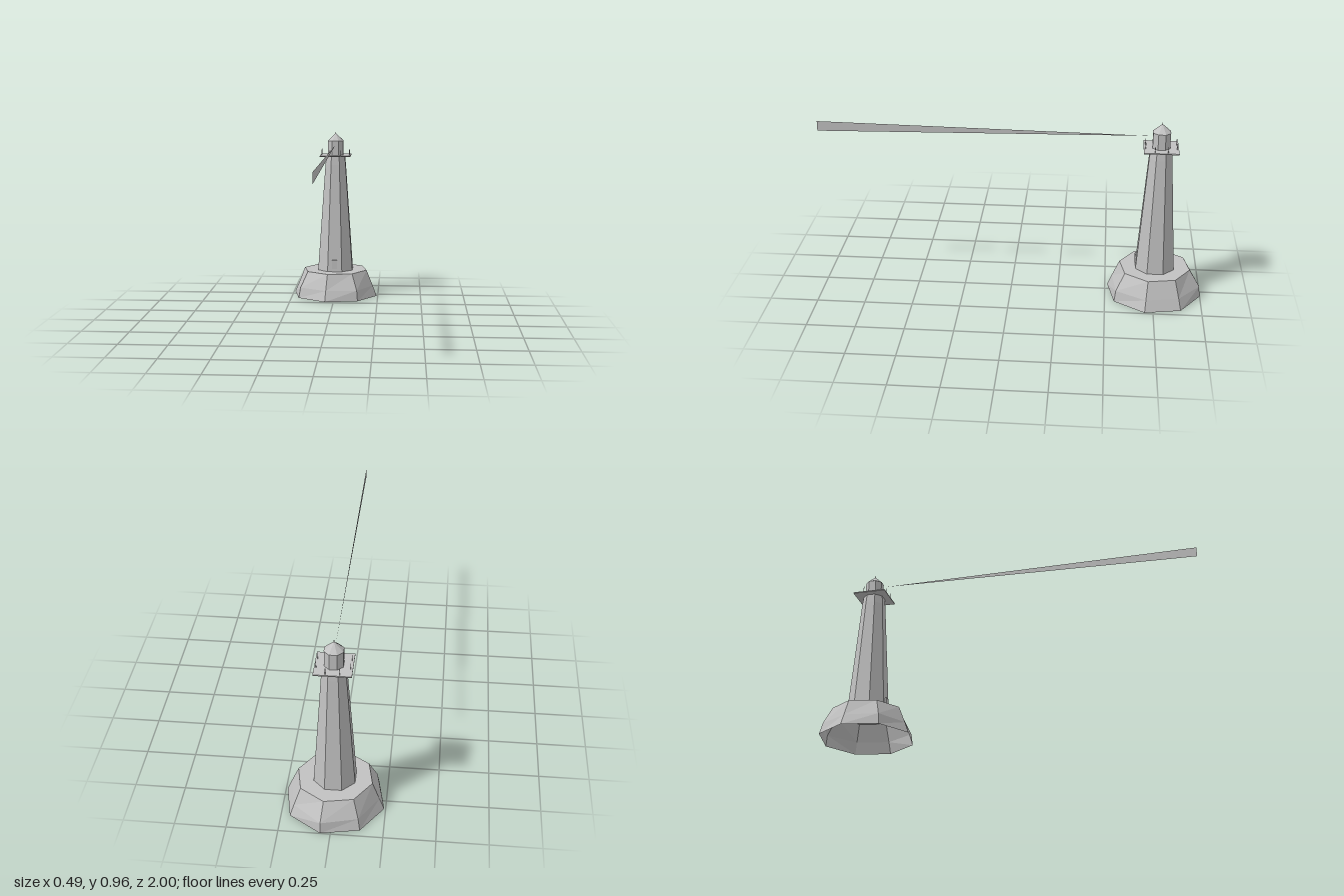
import * as THREE from 'three';

const CENTER_Z = -0.756;

export function createModel() {
  const model = new THREE.Group();
  model.name = 'lighthouse';
  const stone = new THREE.MeshStandardMaterial({ color: 0xc2c2c2, flatShading: true, side: THREE.DoubleSide });
  stone.name = 'grey stone';

  const tower = new THREE.Group();
  tower.name = 'tower';
  tower.position.z = CENTER_Z;
  model.add(tower);

  const add = (name, geometry, x = 0, y = 0, z = 0, parent = tower) => {
    const mesh = new THREE.Mesh(geometry, stone);
    mesh.name = name;
    mesh.position.set(x, y, z);
    parent.add(mesh);
    return mesh;
  };

  // Eight-sided section with a flat face to the front; sizes are half-widths
  const octagon = (name, top, bottom, y0, y1, open = false) => {
    const k = 1 / Math.cos(Math.PI / 8);
    const g = new THREE.CylinderGeometry(top * k, bottom * k, y1 - y0, 8, 1, open, Math.PI / 8);
    return add(name, g, 0, (y0 + y1) / 2);
  };

  // Rock: hollow eight-sided mound with an uneven middle ring
  const turn = -0.2;
  const rockTop = 0.187, rockHeight = 0.15;
  const rock = new THREE.CylinderGeometry(rockTop, 0.248, rockHeight, 8, 2, true, turn);
  rock.translate(0, rockHeight / 2, 0);
  const bulge = [0.225, 0.239, 0.225, 0.225, 0.243, 0.232, 0.223, 0.236];
  const p = rock.attributes.position;
  for (let i = 0; i <= 8; i++) {
    const a = turn + (i * Math.PI) / 4, r = bulge[i % 8];
    p.setXYZ(9 + i, Math.sin(a) * r, 0.06, Math.cos(a) * r);
  }
  add('rock', rock);
  const ledge = new THREE.CircleGeometry(rockTop, 8, turn - Math.PI / 2);
  ledge.rotateX(-Math.PI / 2);
  add('rockTop', ledge, 0, rockHeight, 0);

  // Tapered shaft with a slightly drawn-in neck
  octagon('shaft', 0.058, 0.1, 0.15, 0.77, true);
  octagon('neck', 0.053, 0.058, 0.77, 0.818, true);
  add('door', new THREE.BoxGeometry(0.028, 0.05, 0.016), -0.001, 0.193, 0.097);

  // Square gallery with a ring of eight railing posts
  add('gallery', new THREE.BoxGeometry(0.176, 0.006, 0.176), 0, 0.82, 0);
  for (let i = 0; i < 8; i++) {
    const a = Math.PI / 8 + (i * Math.PI) / 4;
    add('railingPost', new THREE.CylinderGeometry(0.0015, 0.0015, 0.034, 6),
      Math.sin(a) * 0.085, 0.838, Math.cos(a) * 0.085);
  }

  // Lantern room, roof and spire
  octagon('lanternRoom', 0.044, 0.044, 0.82, 0.905);
  octagon('roof', 0.002, 0.045, 0.905, 0.946);
  add('spire', new THREE.CylinderGeometry(0.0018, 0.0018, 0.025, 6), 0, 0.9435, 0);

  // Light beam: flat upright blade that widens towards the front
  const beam = new THREE.BufferGeometry();
  beam.setAttribute('position', new THREE.Float32BufferAttribute(
    [0, 0.882, -0.7, 0, 0.856, 1, 0, 0.908, 1], 3));
  beam.computeVertexNormals();
  add('lightBeam', beam, 0, 0, 0, model);

  return model;
}
